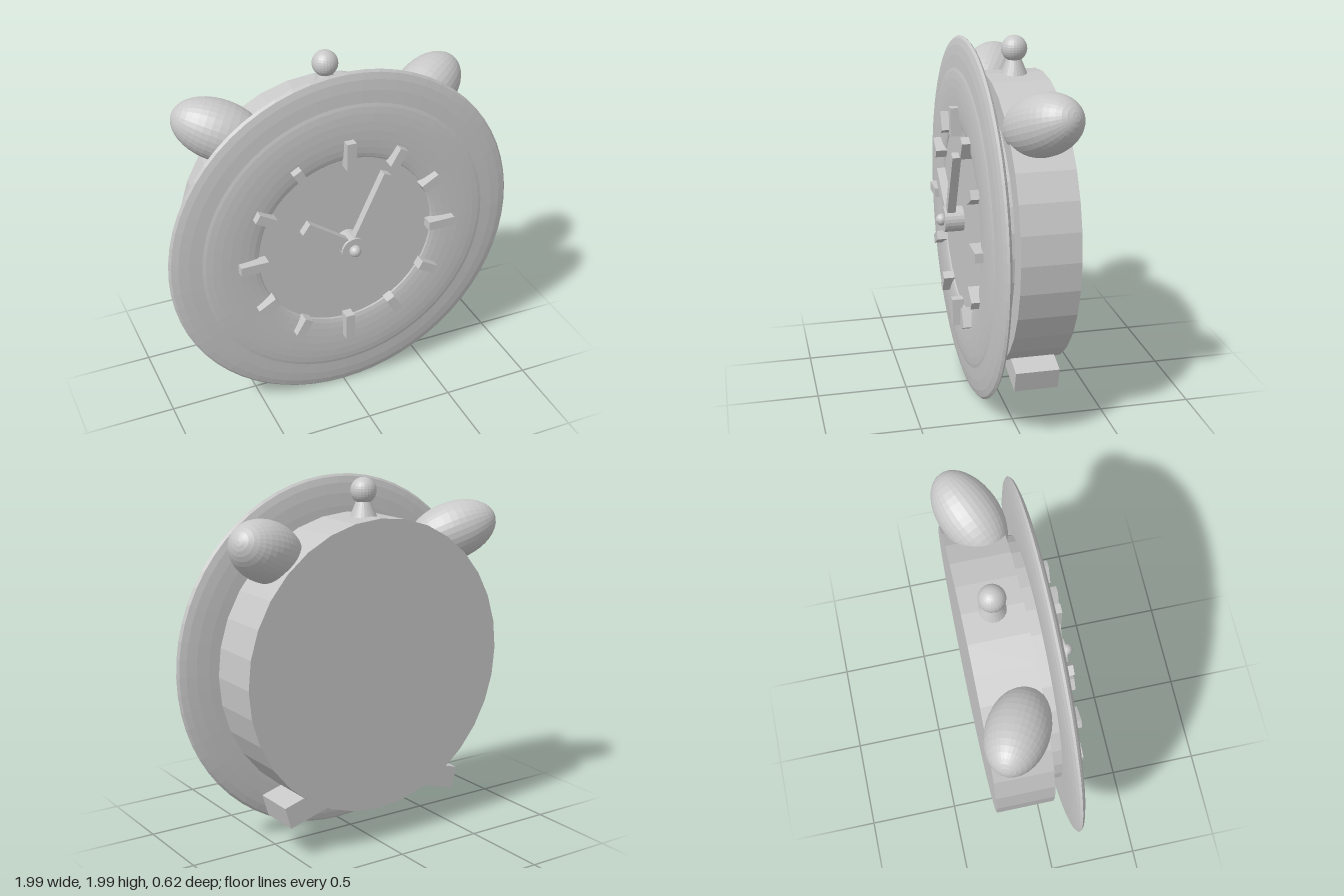
import * as THREE from 'three';

export function createModel() {
  const model = new THREE.Group();
  model.name = 'alarmClock';
  const grey = new THREE.MeshStandardMaterial({ color: 0xc8c8c8, flatShading: true });
  grey.name = 'plain grey';
  const CY = 1.0; // height of the dial centre

  function add(name, geometry, x, y, z, parent = model) {
    const mesh = new THREE.Mesh(geometry, grey);
    mesh.name = name;
    mesh.position.set(x, y, z);
    parent.add(mesh);
    return mesh;
  }

  // Round slab facing forward, between two depths
  function drum(name, radius, z0, z1, sides) {
    const g = new THREE.CylinderGeometry(radius, radius, z1 - z0, sides).rotateX(Math.PI / 2);
    return add(name, g, 0, CY, (z0 + z1) / 2);
  }

  // Ring squashed front to back
  function flatRing(name, inner, outer, halfDepth, z) {
    const tube = (outer - inner) / 2;
    const g = new THREE.TorusGeometry((inner + outer) / 2, tube, 20, 64);
    g.scale(1, 1, halfDepth / tube);
    return add(name, g, 0, CY, z);
  }

  // Case, neck, rim and raised dial ring
  drum('caseBody', 0.8, -0.28, 0.035, 32);
  drum('caseNeckAndDial', 0.68, 0.03, 0.166, 32);
  flatRing('rim', 0.495, 0.994, 0.038, 0.137);
  flatRing('dialRing', 0.505, 0.835, 0.022, 0.165);

  // Hour marks, longer at the quarters
  for (let i = 0; i < 12; i++) {
    const a = (i * Math.PI) / 6;
    const length = i % 3 === 0 ? 0.155 : 0.11;
    const g = new THREE.BoxGeometry(0.052, length, 0.065);
    const mark = add('hourMark', g, Math.sin(a) * 0.55, CY + Math.cos(a) * 0.55, 0.197);
    mark.rotation.z = -a;
  }

  // Hands turn about the dial centre
  function hand(name, length, width, clockwise) {
    const g = new THREE.BoxGeometry(width, length, 0.046).translate(0, length / 2, 0);
    add(name, g, 0, CY, 0.235).rotation.z = -clockwise;
  }
  hand('minuteHand', 0.46, 0.045, 0.435);
  hand('hourHand', 0.33, 0.072, -0.958);

  // Hub and its pin
  drum('hub', 0.07, 0.16, 0.272, 24);
  add('hubPin', new THREE.SphereGeometry(0.033, 16, 12), 0, CY, 0.281);

  // Top knob on a tapered stem
  add('knobStem', new THREE.CylinderGeometry(0.03, 0.08, 0.12, 24), 0, 1.835, -0.122);
  add('knob', new THREE.SphereGeometry(0.07, 24, 16), 0, 1.93, -0.122);

  for (const side of [1, -1]) {
    const prefix = side > 0 ? 'left' : 'right';

    // Oval bell leaning outward, up and back
    const bell = add(prefix + 'Bell', new THREE.SphereGeometry(1, 32, 20), side * 0.595, 1.662, -0.123);
    bell.scale.set(0.161, 0.2575, 0.161);
    const axis = new THREE.Vector3(side, 0.415, -0.5).normalize();
    bell.quaternion.setFromUnitVectors(new THREE.Vector3(0, 1, 0), axis);

    // Splayed block foot
    const foot = add(prefix + 'Foot', new THREE.BoxGeometry(0.25, 0.125, 0.24), side * 0.4375, 0.285, -0.12);
    foot.rotation.z = -side * 0.285;
  }

  return model;
}
